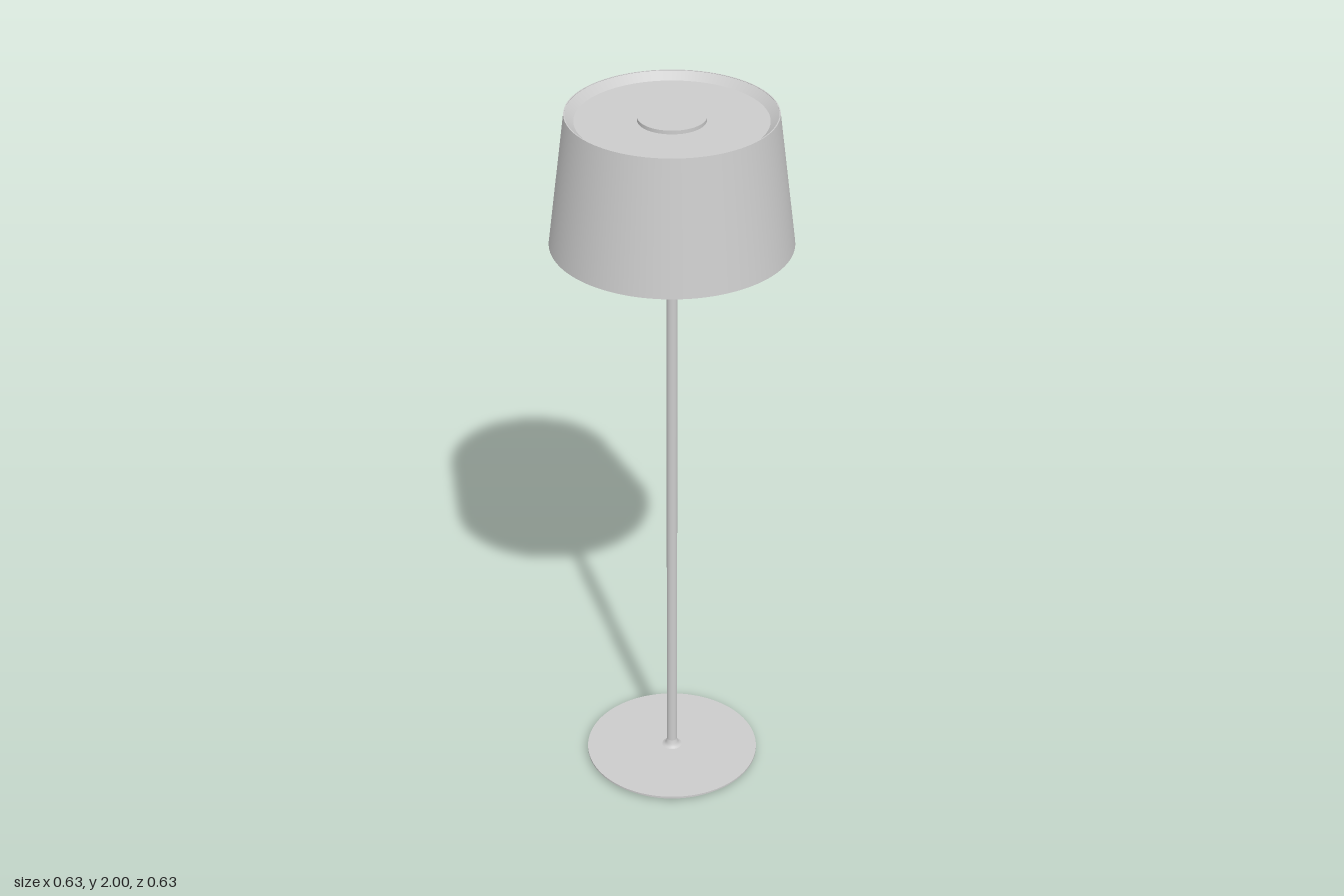
import * as THREE from 'three';

const material = new THREE.MeshStandardMaterial({ color: 0xcccccc, side: THREE.DoubleSide });

// Revolves a profile of [radius, y] points; each segment keeps sharp edges unless smooth.
function turned(name, points, smooth = false, segments = 96) {
  const group = new THREE.Group();
  group.name = name;
  const vectors = points.map(([r, y]) => new THREE.Vector2(r, y));
  const runs = smooth ? [vectors] : vectors.slice(1).map((v, i) => [vectors[i], v]);
  for (const run of runs) {
    const mesh = new THREE.Mesh(new THREE.LatheGeometry(run, segments), material);
    mesh.name = name + 'Surface';
    group.add(mesh);
  }
  return group;
}

export function createModel() {
  const model = new THREE.Group();
  model.name = 'floorLamp';

  // Thin round foot with an overhanging lip
  model.add(turned('base', [
    [0, 0], [0.23, 0], [0.23, 0.011], [0.243, 0.012], [0.243, 0.017], [0, 0.019],
  ]));

  // Small flared collar where the pole meets the foot
  model.add(turned('collar', [
    [0.03, 0.018], [0.022, 0.021], [0.017, 0.028], [0.0145, 0.04],
  ], true, 48));

  // Slender pole ending inside the shade
  model.add(turned('pole', [[0.0145, 0.018], [0.0145, 1.78], [0, 1.78]], false, 32));

  // Tapered open-bottomed shade with a thin wall
  model.add(turned('shade', [
    [0.314, 1.64], [0.317, 1.64], [0.272, 2], [0.269, 2], [0.314, 1.64],
  ]));

  // Recessed top panel with a sloping rim
  model.add(turned('topPanel', [[0.269, 1.999], [0.247, 1.98], [0, 1.98]]));

  // Low round cap in the middle of the panel
  model.add(turned('cap', [[0.088, 1.98], [0.088, 1.99], [0, 1.99]], false, 64));

  return model;
}
